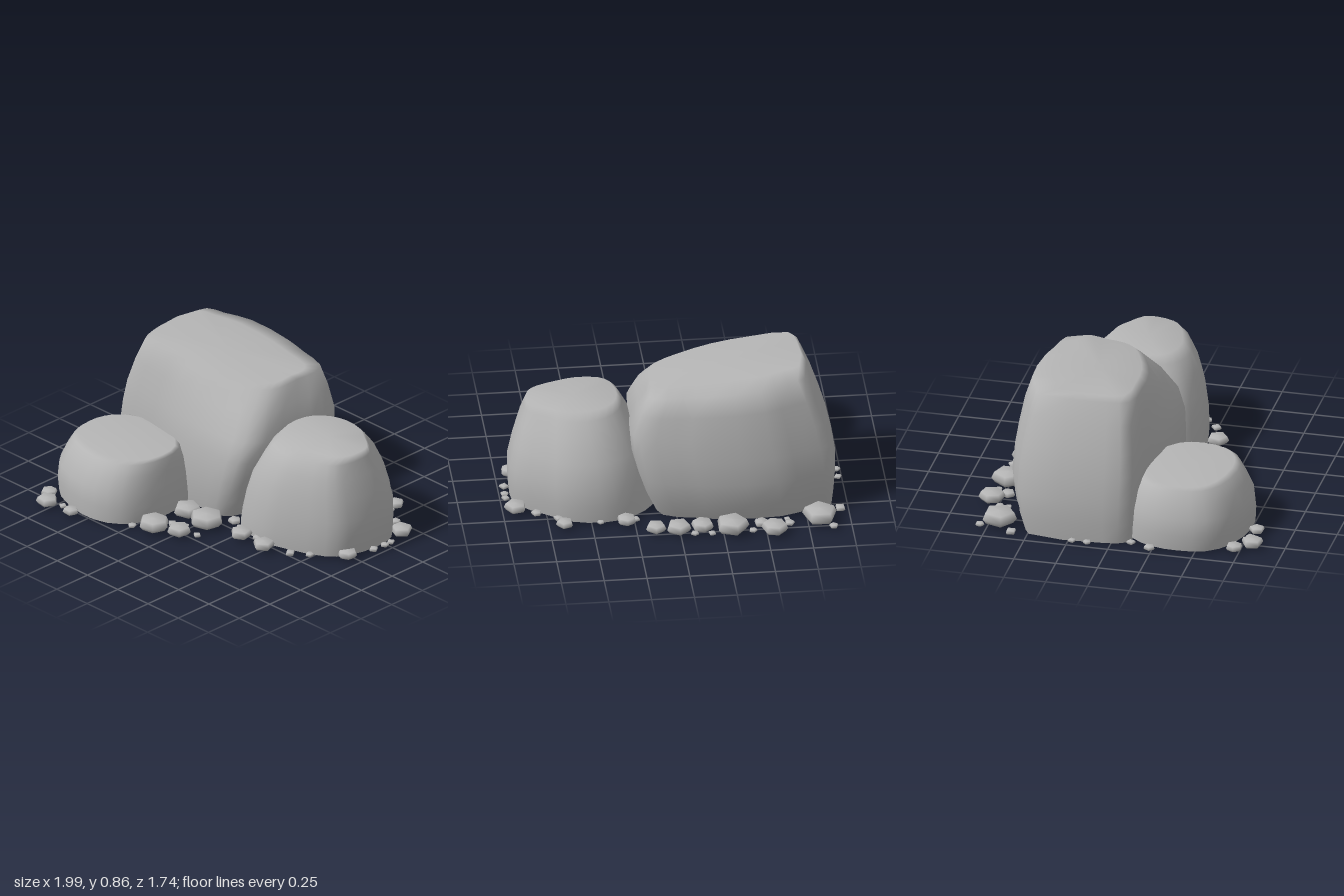
import * as THREE from 'three';

const stone = new THREE.MeshStandardMaterial({ color: 0xb5b5b5, side: THREE.DoubleSide });
stone.name = 'grey stone';

// Hollow boulder: a plan outline [x, z] fitted to the bounds of each ring
// [y, xMin, xMax, zMin, zMax]; open below, closed by a cap.
// tilt lowers the top towards +x; dip lowers and cut draws back its front +x corner.
function boulder(name, outline, rings, { tilt = 0, dip = 0, cut = 0 } = {}) {
  const curve = new THREE.CatmullRomCurve3(
    outline.map(([x, z]) => new THREE.Vector3(x, 0, z)), true, 'centripetal');
  const n = outline.length * 2;
  const plan = curve.getPoints(n).slice(0, n);
  const box = new THREE.Box3().setFromPoints(plan);
  const size = box.getSize(new THREE.Vector3());
  const lastRing = rings[rings.length - 1];
  const pos = [], index = [];

  // Point at fractions u, v of a ring's bounds
  const push = ([y, x0, x1, z0, z1], u, v) => {
    const h = y / lastRing[0];
    const drop = tilt * (u - 0.5) * (x1 - x0) + dip * u * v;
    const depth = v * (1 - cut * u * u * h ** 4);
    pos.push(x0 + u * (x1 - x0), y - drop * h * h, z0 + depth * (z1 - z0));
  };
  for (const ring of rings) {
    for (const p of plan) {
      push(ring, (p.x - box.min.x) / size.x, (p.z - box.min.z) / size.z);
    }
  }
  push(lastRing, 0.5, 0.5);

  const last = (rings.length - 1) * n, centre = rings.length * n;
  for (let j = 0; j < n; j++) {
    const k = (j + 1) % n;
    for (let i = 0; i < last; i += n) {
      index.push(i + j, i + n + j, i + k, i + n + j, i + n + k, i + k);
    }
    index.push(last + j, centre, last + k);
  }
  const g = new THREE.BufferGeometry();
  g.setAttribute('position', new THREE.Float32BufferAttribute(pos, 3));
  g.setIndex(index);
  g.computeVertexNormals();
  const mesh = new THREE.Mesh(g, stone);
  mesh.name = name;
  return mesh;
}

// Pebbles as [x, z, radius]
const largePebbles = [
  [-0.82, -0.69, 0.105], [-0.545, -0.8, 0.078], [-0.475, -0.72, 0.045], [-0.3, -0.76, 0.1],
  [-0.13, -0.725, 0.068], [0.01, -0.74, 0.075], [0.14, -0.72, 0.062], [0.3, -0.61, 0.058],
  [0.66, -0.61, 0.052], [0.925, -0.395, 0.068], [0.91, 0.03, 0.06], [0.49, 0.3, 0.066],
  [0.3, 0.295, 0.066], [0.05, 0.33, 0.102], [-0.12, 0.32, 0.085], [0.02, 0.525, 0.072],
  [-0.13, 0.58, 0.092], [-0.6, 0.795, 0.048], [-0.78, 0.81, 0.066], [-0.855, 0.72, 0.05],
];
const smallPebbles = [
  [-0.89, -0.79, 0.028], [-0.95, -0.59, 0.036], [-0.64, -0.73, 0.03], [-0.63, -0.68, 0.022],
  [-0.42, -0.79, 0.025], [-0.18, -0.8, 0.025], [-0.08, -0.79, 0.025], [0.245, -0.59, 0.028],
  [0.45, -0.6, 0.022], [0.69, -0.535, 0.03], [0.81, -0.46, 0.032], [0.97, -0.265, 0.026],
  [0.97, -0.215, 0.026], [0.965, -0.13, 0.03], [0.75, 0.18, 0.026], [0.66, 0.25, 0.032],
  [0.39, 0.25, 0.03], [0.235, 0.235, 0.032], [0.15, 0.2, 0.04], [-0.08, 0.48, 0.03],
  [-0.01, 0.44, 0.022], [0.12, 0.475, 0.026], [-0.23, 0.66, 0.026], [-0.685, 0.775, 0.026],
  [-0.965, 0.24, 0.034], [-0.92, 0.12, 0.028], [-0.975, -0.13, 0.025], [-0.975, -0.22, 0.025],
];

// Flattened stone with few sides and soft edges
function pebbleGeometry(sides) {
  const profile = [[0, 0], [0.8, 0.04], [1, 0.32], [0.85, 0.68], [0, 0.74]];
  return new THREE.LatheGeometry(profile.map(([r, y]) => new THREE.Vector2(r, y)), sides);
}

function scatter(name, list, sides) {
  const group = new THREE.Group();
  group.name = name;
  const geometries = sides.map(pebbleGeometry);
  list.forEach(([x, z, r], i) => {
    const mesh = new THREE.Mesh(geometries[i % geometries.length], stone);
    mesh.name = 'pebble';
    mesh.position.set(x, 0.027, z);
    mesh.scale.setScalar(r);
    mesh.rotation.y = i * 2.4;
    group.add(mesh);
  });
  return group;
}

export function createModel() {
  const model = new THREE.Group();
  model.name = 'rockCluster';

  model.add(boulder('largeBoulder',
    [[-0.93, -0.55], [-0.8, -0.6], [-0.58, -0.68], [-0.2, -0.68], [0.0, -0.64], [0.21, -0.58],
      [0.26, -0.43], [0.24, -0.2], [0.23, 0.08], [0.16, 0.2], [0, 0.22], [-0.28, 0.21],
      [-0.6, 0.16], [-0.9, 0.11], [-0.95, -0.05]],
    [[0.015, -0.94, 0.12, -0.62, 0.19], [0.13, -0.95, 0.17, -0.66, 0.21],
      [0.27, -0.95, 0.215, -0.68, 0.22], [0.42, -0.925, 0.25, -0.67, 0.22],
      [0.55, -0.895, 0.26, -0.65, 0.21], [0.7, -0.84, 0.215, -0.62, 0.185],
      [0.82, -0.785, 0.165, -0.58, 0.155], [0.85, -0.76, 0.14, -0.46, 0.1]],
    { tilt: 0.065, dip: 0.03, cut: 0.4 }));

  model.add(boulder('mediumBoulder',
    [[0.06, -0.2], [0.11, -0.4], [0.25, -0.54], [0.42, -0.59], [0.62, -0.56], [0.75, -0.47],
      [0.92, -0.33], [0.95, -0.2], [0.91, 0.02], [0.82, 0.12], [0.6, 0.21], [0.42, 0.25],
      [0.2, 0.2], [0.1, 0.08]],
    [[0.025, 0.07, 0.94, -0.59, 0.25], [0.12, 0.09, 0.95, -0.595, 0.255],
      [0.25, 0.12, 0.95, -0.585, 0.245], [0.38, 0.165, 0.92, -0.54, 0.225],
      [0.5, 0.23, 0.885, -0.47, 0.185], [0.59, 0.28, 0.85, -0.395, 0.135],
      [0.633, 0.31, 0.84, -0.35, 0.075]], { dip: 0.02 }));

  model.add(boulder('smallBoulder',
    [[-0.93, 0.25], [-0.84, 0.1], [-0.62, 0.02], [-0.4, 0.06], [-0.24, 0.2], [-0.2, 0.4],
      [-0.25, 0.62], [-0.37, 0.73], [-0.55, 0.76], [-0.8, 0.69], [-0.92, 0.57], [-0.95, 0.4]],
    [[0.025, -0.94, -0.2, 0.02, 0.755], [0.12, -0.95, -0.195, 0.02, 0.76],
      [0.22, -0.94, -0.205, 0.03, 0.75], [0.31, -0.905, -0.22, 0.06, 0.705],
      [0.375, -0.87, -0.235, 0.1, 0.665], [0.392, -0.85, -0.25, 0.14, 0.63]]));

  model.add(scatter('largePebbles', largePebbles, [5, 6, 5]));
  model.add(scatter('smallPebbles', smallPebbles, [5, 4]));
  return model;
}
